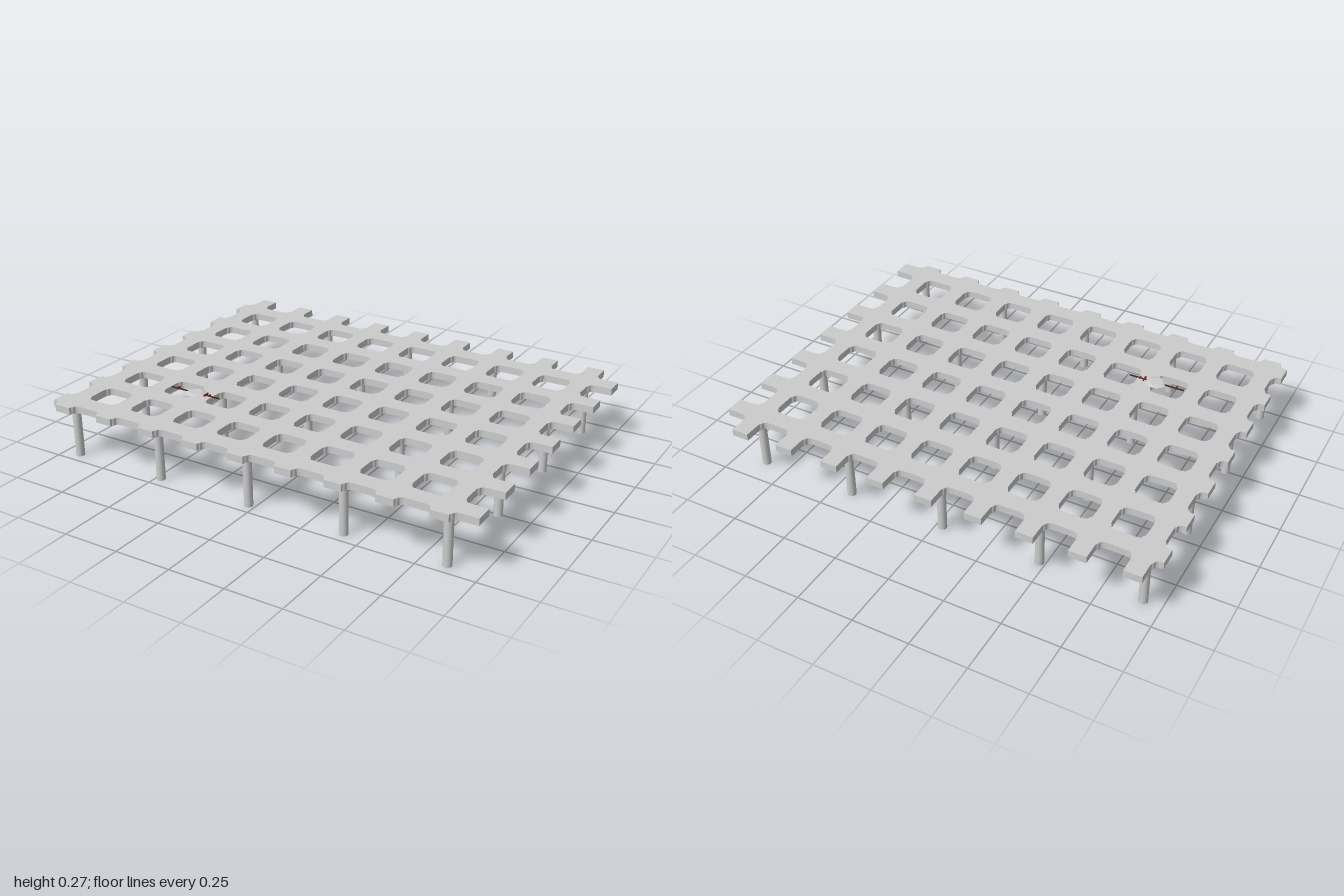
import * as THREE from 'three';

const PITCH = 0.2225;
const X0 = -0.922, Z0 = -0.631;          // first lattice bar centres
const COLS = 9, ROWS = 7;
const BOX = { x0: -1, x1: 1, z0: -0.778, z1: 0.778 };
const BOTTOM = 0.229, TOP = 0.26;

// One quarter of the rounded-square opening, from its +x side to its +z side
const QUARTER = [[0.073, 0.037], [0.071, 0.047], [0.066, 0.052], [0.062, 0.063], [0.054, 0.068], [0.036, 0.07]];

// The quarter in the direction (sx, sz); reversed runs from its z side to its x side
function quarter(cx, cz, sx, sz, reversed) {
  const pts = QUARTER.map(([x, z]) => [cx + sx * x, cz + sz * z]);
  return reversed ? pts.reverse() : pts;
}

function toVectors(points) {
  return points.map(([x, z]) => new THREE.Vector2(x, -z));
}

function deckGeometry() {
  const cx = (i) => X0 + (i + 0.5) * PITCH;
  const cz = (j) => Z0 + (j + 0.5) * PITCH;
  const far = 0.5;
  const out = [];

  // Outline: openings cut by the four edges, walked round and clamped to the deck
  const left = cx(-1), right = cx(COLS - 1), back = cz(-1), front = cz(ROWS - 1);
  const w = QUARTER[0][0], d = QUARTER[QUARTER.length - 1][1];
  out.push([left - far, back + d], ...quarter(left, back, 1, 1, true), [left + w, back - far]);
  for (let i = 0; i < COLS - 1; i++) {
    const x = cx(i);
    out.push([x - w, back - far], ...quarter(x, back, -1, 1), ...quarter(x, back, 1, 1, true), [x + w, back - far]);
  }
  out.push([right - w, back - far], ...quarter(right, back, -1, 1), [right + far, back + d]);
  for (let j = 0; j < ROWS - 1; j++) {
    const z = cz(j);
    out.push([right + far, z - d], ...quarter(right, z, -1, -1, true), ...quarter(right, z, -1, 1), [right + far, z + d]);
  }
  out.push([right + far, front - d], ...quarter(right, front, -1, -1, true), [right - w, front + far]);
  for (let i = COLS - 2; i >= 0; i--) {
    const x = cx(i);
    out.push([x + w, front + far], ...quarter(x, front, 1, -1), ...quarter(x, front, -1, -1, true), [x - w, front + far]);
  }
  out.push([left + w, front + far], ...quarter(left, front, 1, -1), [left - far, front - d]);
  for (let j = ROWS - 2; j >= 0; j--) {
    const z = cz(j);
    out.push([left - far, z + d], ...quarter(left, z, 1, 1, true), ...quarter(left, z, 1, -1), [left - far, z - d]);
  }
  const clamped = out
    .map(([x, z]) => [THREE.MathUtils.clamp(x, BOX.x0, BOX.x1), THREE.MathUtils.clamp(z, BOX.z0, BOX.z1)])
    .filter((p, i, a) => i === 0 || Math.hypot(p[0] - a[i - 1][0], p[1] - a[i - 1][1]) > 1e-5);
  // Counter-clockwise outline, so that the walls of the openings face inward
  const shape = new THREE.Shape(toVectors(clamped.reverse()));

  // Full openings
  for (let i = 0; i < COLS - 1; i++) {
    for (let j = 0; j < ROWS - 1; j++) {
      const x = cx(i), z = cz(j);
      shape.holes.push(new THREE.Path(toVectors([
        ...quarter(x, z, 1, 1), ...quarter(x, z, -1, 1, true),
        ...quarter(x, z, -1, -1), ...quarter(x, z, 1, -1, true),
      ])));
    }
  }
  const geometry = new THREE.ExtrudeGeometry(shape, { depth: TOP - BOTTOM, bevelEnabled: false });
  geometry.rotateX(-Math.PI / 2);
  geometry.translate(0, BOTTOM, 0);
  return geometry;
}

function flatColour(name, color) {
  const material = new THREE.MeshStandardMaterial({ color });
  material.name = name;
  return material;
}

export function createModel() {
  const group = new THREE.Group();
  const concrete = flatColour('concreteGrey', 0xcccccc);
  const dark = flatColour('darkBrown', 0x45261f);
  const red = flatColour('rustRed', 0x8a2e22);

  const add = (parent, name, geometry, material, x = 0, y = 0, z = 0) => {
    const mesh = new THREE.Mesh(geometry, material);
    mesh.name = name;
    mesh.position.set(x, y, z);
    parent.add(mesh);
  };

  add(group, 'latticeDeck', deckGeometry(), concrete);

  // Round legs under every second crossing
  const legs = new THREE.Group();
  legs.name = 'legs';
  const legGeometry = new THREE.CylinderGeometry(0.019, 0.019, BOTTOM, 16);
  for (let i = 0; i < COLS; i += 2) {
    for (let j = 0; j < ROWS; j += 2) {
      add(legs, 'leg', legGeometry, concrete, X0 + 0.002 + i * PITCH, BOTTOM / 2, Z0 - 0.006 + j * PITCH);
    }
  }
  group.add(legs);

  // Small disc and rod resting on the deck
  const ornament = new THREE.Group();
  ornament.name = 'ornament';
  ornament.position.set(-0.525, TOP, 0.375);
  add(ornament, 'disc', new THREE.CylinderGeometry(0.03, 0.045, 0.006, 20), concrete, 0, 0.004, 0);
  for (const [x, length] of [[-0.085, 0.09], [0.085, 0.08]]) {
    add(ornament, 'rod', new THREE.BoxGeometry(length, 0.005, 0.005), dark, x, 0.001, 0);
  }
  for (const [x, width] of [[-0.095, 0.022], [0.055, 0.03], [0.075, 0.014]]) {
    add(ornament, 'crossBar', new THREE.BoxGeometry(0.005, 0.008, width), red, x, 0.004, 0);
  }
  group.add(ornament);

  return group;
}
